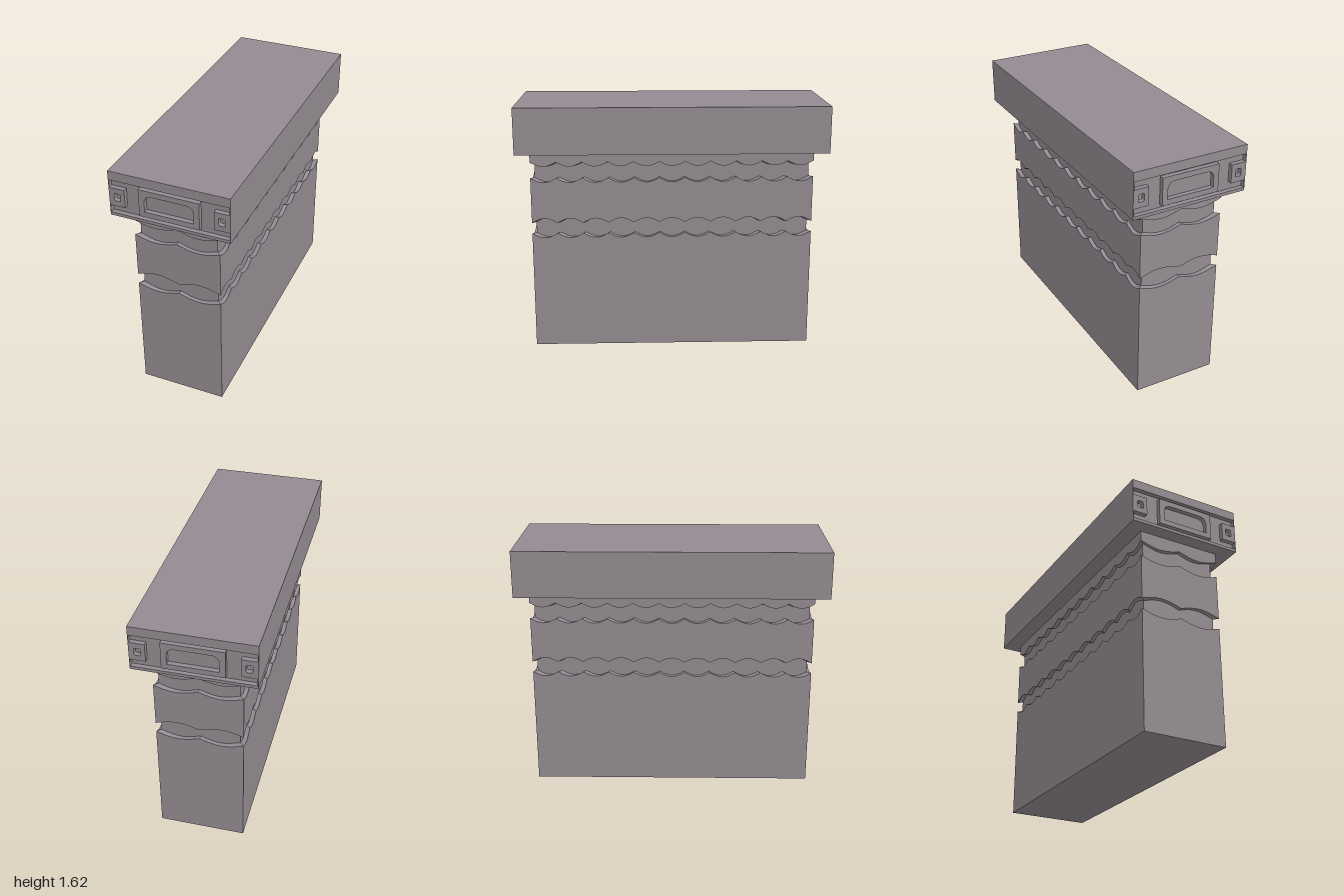
import * as THREE from 'three';

const stone = new THREE.MeshStandardMaterial({ color: 0x938b91 });
stone.name = 'grey stone';

const OUT = [0.277, 0.915], CORE = [0.25, 0.888];

function add(parent, name, geometry, x = 0, y = 0, z = 0) {
  const mesh = new THREE.Mesh(geometry, stone);
  mesh.name = name;
  mesh.position.set(x, y, z);
  parent.add(mesh);
  return mesh;
}

// Cladding around the core; the bottom and top edges can be scalloped by a signed amount
function claddingRing(y0, y1, waveBottom, waveTop) {
  const corners = [[-1, 1], [1, 1], [1, -1], [-1, -1]];
  const scallops = [2, 11, 2, 11], steps = 8;
  const pos = [];
  const quad = (a, b, c, d) => pos.push(...a, ...b, ...c, ...a, ...c, ...d);
  corners.forEach((c, side) => {
    const next = corners[(side + 1) % 4], count = scallops[side] * steps;
    const point = (i, size, top) => {
      const t = i / count;
      const bulge = Math.sin(Math.PI * (i % steps) / steps);
      const y = top ? y1 + waveTop * bulge : y0 + waveBottom * bulge;
      return [(c[0] + (next[0] - c[0]) * t) * size[0], y, (c[1] + (next[1] - c[1]) * t) * size[1]];
    };
    for (let i = 0; i < count; i++) {
      const j = i + 1;
      quad(point(i, OUT, false), point(j, OUT, false), point(j, OUT, true), point(i, OUT, true));
      quad(point(i, OUT, true), point(j, OUT, true), point(j, CORE, true), point(i, CORE, true));
      quad(point(i, CORE, false), point(j, CORE, false), point(j, OUT, false), point(i, OUT, false));
    }
  });
  const g = new THREE.BufferGeometry();
  g.setAttribute('position', new THREE.Float32BufferAttribute(pos, 3));
  g.computeVertexNormals();
  return g;
}

// Rectangular plate with a hole, extruded forward
function framedPlate(w, h, hole, depth) {
  const s = new THREE.Shape();
  s.moveTo(-w / 2, -h / 2).lineTo(w / 2, -h / 2).lineTo(w / 2, h / 2).lineTo(-w / 2, h / 2).closePath();
  s.holes.push(hole);
  return new THREE.ExtrudeGeometry(s, { depth, bevelEnabled: false, curveSegments: 5 });
}

// Opening with rounded upper corners and, if wanted, rounded lower corners
function opening(w, h, rTop, rBottom) {
  const x = w / 2, y = h / 2, p = new THREE.Path();
  p.moveTo(-x, -y + rBottom).lineTo(-x, y - rTop);
  p.quadraticCurveTo(-x, y, -x + rTop, y).lineTo(x - rTop, y);
  p.quadraticCurveTo(x, y, x, y - rTop).lineTo(x, -y + rBottom);
  if (rBottom) p.quadraticCurveTo(x, -y, x - rBottom, -y);
  p.lineTo(-x + rBottom, -y);
  if (rBottom) p.quadraticCurveTo(-x, -y, -x, -y + rBottom);
  return p;
}

// Carved end of the cap
function capEnd() {
  const end = new THREE.Group(), d = 0.03, z = 1 - d / 2;
  end.name = 'capEnd';
  add(end, 'upperRail', new THREE.BoxGeometry(0.76, 0.06, d), 0, 1.59, z);
  add(end, 'lowerRail', new THREE.BoxGeometry(0.76, 0.02, d), 0, 1.33, z);
  add(end, 'centrePanel', framedPlate(0.38, 0.18, opening(0.31, 0.11, 0.05, 0), d), 0, 1.45, 1 - d);
  for (const s of [-1, 1]) {
    add(end, 'sideWall', new THREE.BoxGeometry(0.005, 0.22, d), s * 0.3775, 1.45, z);
    add(end, 'sideBlock', framedPlate(0.095, 0.12, opening(0.04, 0.05, 0.01, 0.01), d), s * 0.3275, 1.45, 1 - d);
  }
  return end;
}

export function createModel() {
  const model = new THREE.Group();
  model.name = 'carvedPier';

  // Plain core, seen in the grooves
  add(model, 'core', new THREE.BoxGeometry(CORE[0] * 2, 1.32, CORE[1] * 2), 0, 0.66, 0);

  // Three scalloped blocks
  add(model, 'lowerBlock', claddingRing(0, 0.78, 0, -0.03));
  add(model, 'middleBlock', claddingRing(0.85, 1.15, 0.03, -0.03));
  add(model, 'upperBlock', claddingRing(1.255, 1.32, -0.03, 0));

  // Cap with a carved panel at each end
  add(model, 'cap', new THREE.BoxGeometry(0.76, 0.3, 1.94), 0, 1.47, 0);
  const front = capEnd(), back = capEnd();
  back.rotation.y = Math.PI;
  model.add(front, back);
  return model;
}
